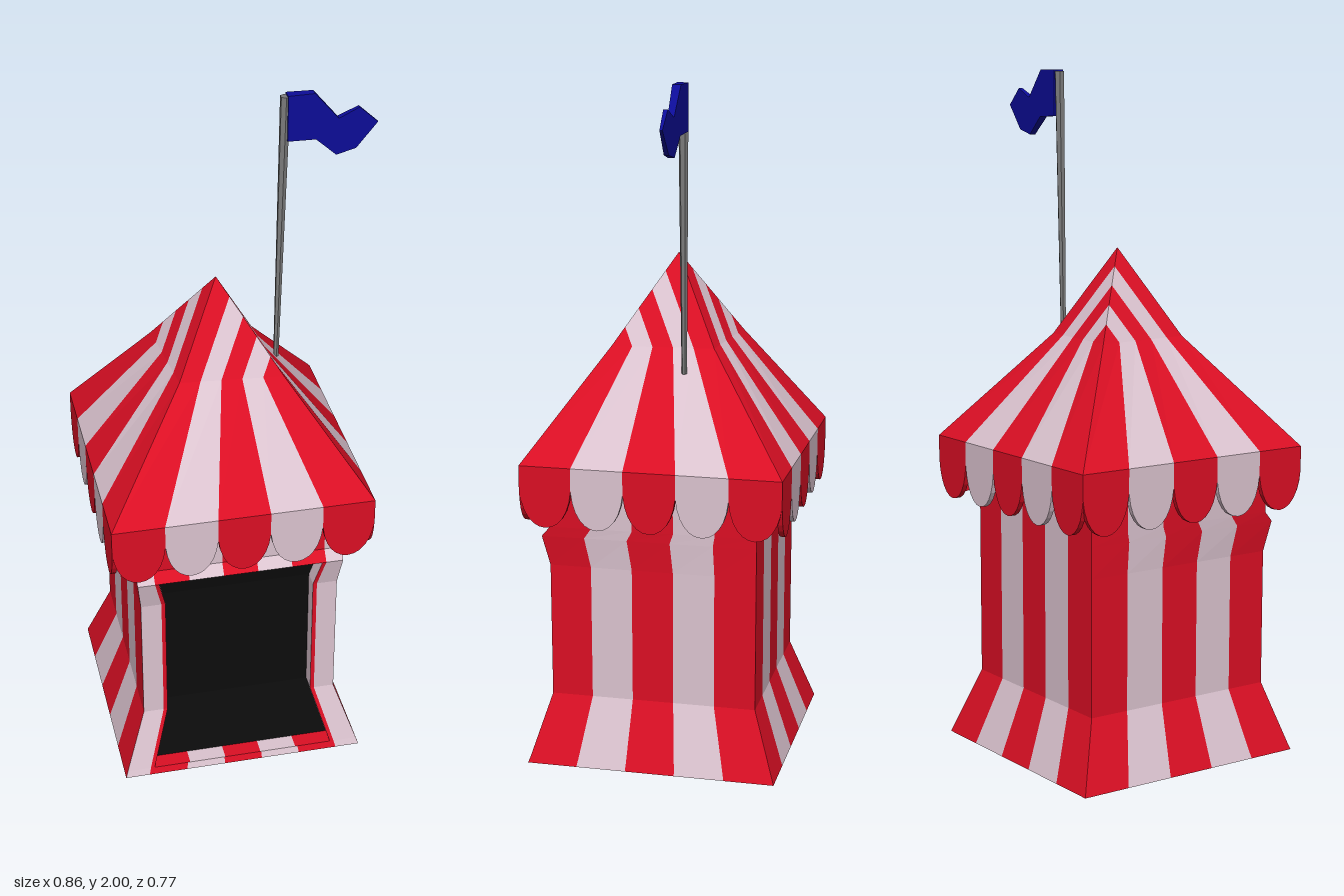
import * as THREE from 'three';

const mat = (name, color, side = THREE.FrontSide) => {
  const m = new THREE.MeshStandardMaterial({ color, side });
  m.name = name;
  return m;
};

const CX = -0.047; // tent axis, the flag sticks out to the other side
const STRIPES = 5;
const lerp = (a, b, t) => a.map((v, i) => v + (b[i] - v) * t);

// Collects flat four-cornered panels and turns them into one mesh
class Panels {
  constructor() { this.pos = []; }
  quad(a, b, c, d) {
    for (const tri of [[a, b, c], [a, c, d]]) {
      const [p, q, r] = tri.map((v) => new THREE.Vector3(...v));
      if (q.clone().sub(p).cross(r.clone().sub(p)).length() > 1e-8) this.pos.push(...tri.flat());
    }
  }
  mesh(name, material) {
    const g = new THREE.BufferGeometry();
    g.setAttribute('position', new THREE.Float32BufferAttribute(this.pos, 3));
    g.computeVertexNormals();
    const m = new THREE.Mesh(g, material);
    m.name = name;
    return m;
  }
}

export function createModel() {
  const model = new THREE.Group();
  model.name = 'stripedTent';
  const red = mat('red', 0xdc0f24, THREE.DoubleSide);
  const white = mat('paleWhite', 0xdcc4d0, THREE.DoubleSide);
  const black = mat('black', 0x0c0c0c, THREE.DoubleSide);
  const grey = mat('poleGrey', 0x7c7c7c);
  const blue = mat('flagBlue', 0x0c0c98);

  const tent = new THREE.Group();
  tent.name = 'tent';
  tent.position.x = CX;
  model.add(tent);

  // Roof: corners run front-left, front-right, back-right, back-left
  const EAVE = 0.383, EAVE_Y = 0.92;
  const signs = [[-1, 1], [1, 1], [1, -1], [-1, -1]];
  const apex = [0, 1.49, 0];
  const eave = signs.map(([x, z]) => [x * EAVE, EAVE_Y, z * EAVE]);
  const mid = signs.map(([x, z], i) => {
    const h = i % 2 ? 0.163 : 0.135;
    return [x * h, 1.235, z * h];
  });
  const roof = [new Panels(), new Panels()];
  for (let k = 0; k < 4; k++) {
    const n = (k + 1) % 4;
    for (let i = 0; i < STRIPES; i++) {
      const a = i / STRIPES, b = (i + 1) / STRIPES, p = roof[i % 2];
      const ma = lerp(mid[k], mid[n], a), mb = lerp(mid[k], mid[n], b);
      p.quad(lerp(eave[k], eave[n], a), lerp(eave[k], eave[n], b), mb, ma);
      // the stripes of the cap slant towards one edge of each face
      if (k % 2 === 0) p.quad(ma, mb, lerp(apex, mid[n], b), lerp(apex, mid[n], a));
      else p.quad(ma, mb, lerp(apex, mid[k], 1 - b), lerp(apex, mid[k], 1 - a));
    }
  }
  tent.add(roof[0].mesh('roofRedStripes', red), roof[1].mesh('roofWhiteStripes', white));

  // Scalloped valance under the eaves
  const w = (2 * EAVE) / STRIPES;
  const scallop = new THREE.Shape();
  scallop.moveTo(-w / 2, 0);
  scallop.lineTo(-w / 2, -0.07);
  scallop.bezierCurveTo(-w * 0.46, -0.14, -w * 0.25, -0.18, 0, -0.18);
  scallop.bezierCurveTo(w * 0.25, -0.18, w * 0.46, -0.14, w / 2, -0.07);
  scallop.lineTo(w / 2, 0);
  const scallopGeo = new THREE.ExtrudeGeometry(scallop, { depth: 0.015, bevelEnabled: false, curveSegments: 6 });
  for (let k = 0; k < 4; k++) {
    const side = new THREE.Group();
    side.name = 'valanceSide';
    side.rotation.y = (k * Math.PI) / 2;
    for (let i = 0; i < STRIPES; i++) {
      const m = new THREE.Mesh(scallopGeo, i % 2 ? white : red);
      m.name = 'scallop';
      m.position.set((i - 2) * w, EAVE_Y, EAVE - 0.015);
      side.add(m);
    }
    tent.add(side);
  }

  // Wall profile: height, front half width, door half width, front z, back half width
  const rows = [
    [0, 0.365, 0.28, 0.376, 0.365],
    [0.02, 0.358, 0.275, 0.369, 0.358],
    [0.2, 0.295, 0.222, 0.316, 0.295],
    [0.6, 0.295, 0.222, 0.318, 0.295],
    [0.69, 0.306, 0.243, 0.34, 0.295],
    [0.72, 0.308, 0.243, 0.314, 0.295],
    [0.95, 0.318, 0.243, 0.318, 0.295],
  ];
  const BORDER = 0.012, RECESS = 0.05, DOOR_FROM = 1, DOOR_TO = 4;
  const walls = [new Panels(), new Panels()];
  const frame = new Panels(), jambs = new Panels(), door = new Panels();
  const corners = ([y, W, , z, B]) => [[-W, y, z], [W, y, z], [B, y, -B], [-B, y, -B]];
  // point on the front wall
  const fp = (row, x, back = 0) => [x, row[0], row[3] - back];

  for (let r = 0; r < rows.length - 1; r++) {
    const lo = rows[r], hi = rows[r + 1];
    const cl = corners(lo), ch = corners(hi);
    // side and back walls
    for (let k = 1; k < 4; k++) {
      const n = (k + 1) % 4;
      for (let i = 0; i < STRIPES; i++) {
        const a = i / STRIPES, b = (i + 1) / STRIPES;
        walls[i % 2].quad(lerp(cl[k], cl[n], a), lerp(cl[k], cl[n], b), lerp(ch[k], ch[n], b), lerp(ch[k], ch[n], a));
      }
    }
    // front wall: white flanks, with the doorway or stripes between them
    const fl = lo[2] + BORDER, fh = hi[2] + BORDER;
    walls[1].quad(fp(lo, -lo[1]), fp(lo, -fl), fp(hi, -fh), fp(hi, -hi[1]));
    walls[1].quad(fp(lo, fl), fp(lo, lo[1]), fp(hi, hi[1]), fp(hi, fh));
    if (r >= DOOR_FROM && r < DOOR_TO) {
      frame.quad(fp(lo, -fl), fp(lo, -lo[2]), fp(hi, -hi[2]), fp(hi, -fh));
      frame.quad(fp(lo, lo[2]), fp(lo, fl), fp(hi, fh), fp(hi, hi[2]));
      jambs.quad(fp(lo, -lo[2]), fp(lo, -lo[2], RECESS), fp(hi, -hi[2], RECESS), fp(hi, -hi[2]));
      jambs.quad(fp(lo, lo[2], RECESS), fp(lo, lo[2]), fp(hi, hi[2]), fp(hi, hi[2], RECESS));
      door.quad(fp(lo, -lo[2], RECESS), fp(lo, lo[2], RECESS), fp(hi, hi[2], RECESS), fp(hi, -hi[2], RECESS));
    } else {
      for (let i = 0; i < STRIPES; i++) {
        const a = (2 * i) / STRIPES - 1, b = (2 * (i + 1)) / STRIPES - 1;
        walls[i % 2].quad(fp(lo, fl * a), fp(lo, fl * b), fp(hi, fh * b), fp(hi, fh * a));
      }
    }
  }
  // threshold and lintel of the doorway
  for (let i = 0; i < STRIPES; i++) {
    const a = (2 * i) / STRIPES - 1, b = (2 * (i + 1)) / STRIPES - 1;
    const t = rows[DOOR_FROM], l = rows[DOOR_TO];
    walls[i % 2].quad(fp(t, t[2] * a), fp(t, t[2] * b), fp(t, t[2] * b, RECESS), fp(t, t[2] * a, RECESS));
    walls[i % 2].quad(fp(l, l[2] * a, RECESS), fp(l, l[2] * b, RECESS), fp(l, l[2] * b), fp(l, l[2] * a));
  }
  tent.add(
    walls[0].mesh('wallRedStripes', red),
    walls[1].mesh('wallWhiteStripes', white),
    frame.mesh('doorFrame', red),
    jambs.mesh('doorJambs', white),
    door.mesh('darkDoorway', black),
  );

  // Leaning flagpole, thicker at the top
  const foot = new THREE.Vector3(0.146, 1.17, -0.06), tip = new THREE.Vector3(0.163, 1.995, -0.06);
  const dir = tip.clone().sub(foot);
  const poleGeo = new THREE.CylinderGeometry(0.015, 0.008, dir.length(), 6).toNonIndexed();
  poleGeo.computeVertexNormals();
  const pole = new THREE.Mesh(poleGeo, grey);
  pole.name = 'flagpole';
  pole.position.copy(foot).lerp(tip, 0.5);
  pole.quaternion.setFromUnitVectors(new THREE.Vector3(0, 1, 0), dir.normalize());
  model.add(pole);

  // Waving flag, thinning towards its free end
  const outline = [
    [0.168, 1.865], [0.25, 1.862], [0.31, 1.808], [0.368, 1.822], [0.43, 1.895],
    [0.375, 1.945], [0.315, 1.918], [0.245, 2.0], [0.168, 2.0],
  ];
  const flagGeo = new THREE.ExtrudeGeometry(
    new THREE.Shape(outline.map(([x, y]) => new THREE.Vector2(x, y))), { depth: 1, bevelEnabled: false });
  const p = flagGeo.attributes.position;
  for (let i = 0; i < p.count; i++) {
    const half = THREE.MathUtils.mapLinear(p.getX(i), 0.168, 0.43, 0.016, 0.004);
    p.setZ(i, -0.06 + (p.getZ(i) * 2 - 1) * half);
  }
  flagGeo.computeVertexNormals();
  const flag = new THREE.Mesh(flagGeo, blue);
  flag.name = 'flag';
  model.add(flag);

  return model;
}
